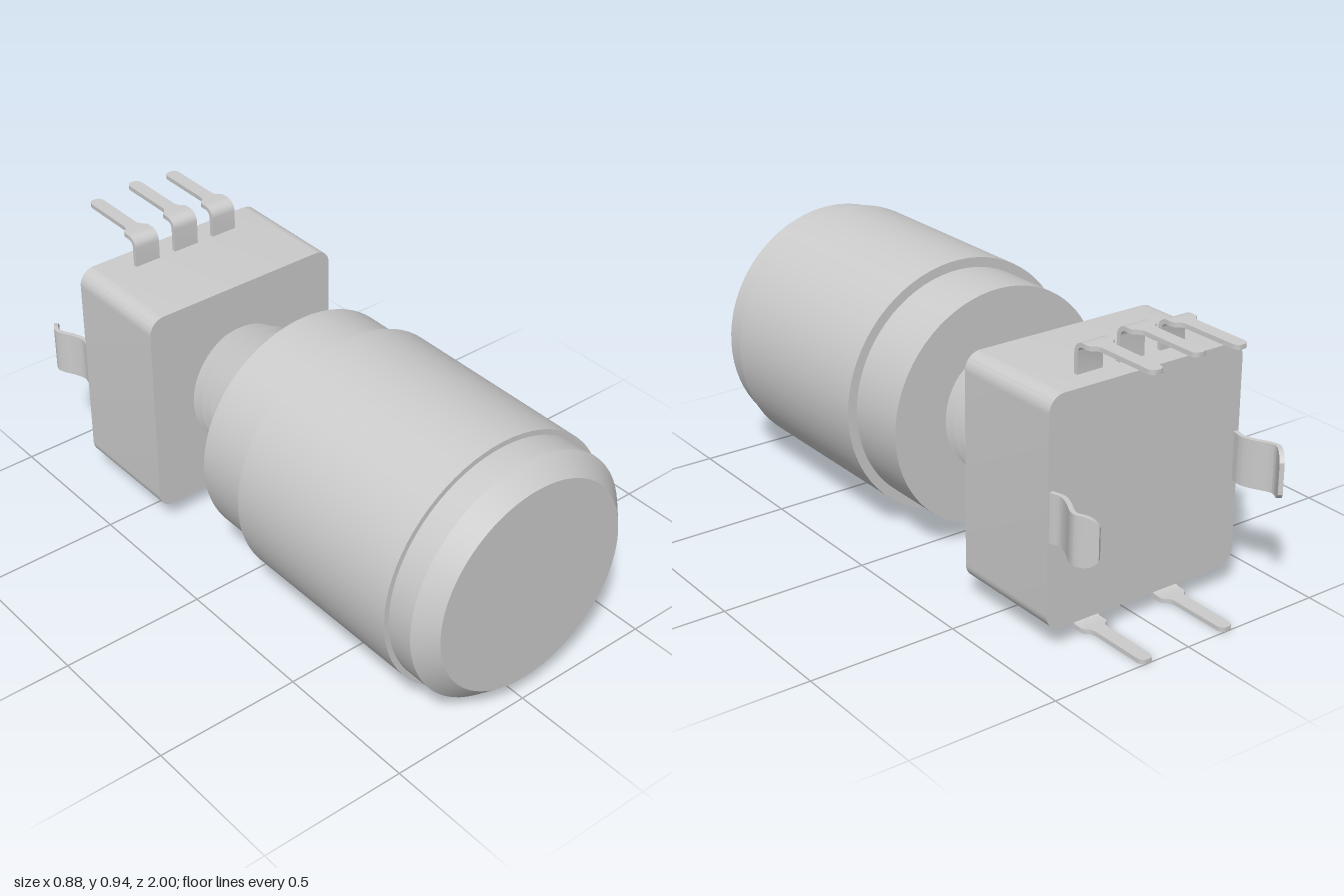
import * as THREE from 'three';
import { toCreasedNormals } from 'three/addons/utils/BufferGeometryUtils.js';

const AXIS_Y = 0.448; // height of the shaft axis; parts are built around y = 0
const THICK = 0.015; // sheet metal thickness
const material = new THREE.MeshStandardMaterial({ color: 0xcccccc });

function part(name, geometry, crease = 0.5) {
  const mesh = new THREE.Mesh(toCreasedNormals(geometry, crease), material);
  mesh.name = name;
  return mesh;
}

function indexed(positions, indices) {
  const g = new THREE.BufferGeometry();
  g.setAttribute('position', new THREE.Float32BufferAttribute(positions, 3));
  g.setIndex(indices);
  return g;
}

// Bent metal strip: path of [u, v, halfWidth]; place(u, v, w) returns [x, y, z]
function strip(path, place) {
  const pos = [], idx = [], last = path.length - 1;
  path.forEach(([u, v, w], i) => {
    const a = path[Math.max(i - 1, 0)], b = path[Math.min(i + 1, last)];
    const t = new THREE.Vector2(b[0] - a[0], b[1] - a[1]).normalize();
    for (const [n, s] of [[1, 1], [-1, 1], [-1, -1], [1, -1]]) {
      const h = n * THICK / 2;
      pos.push(...place(u - t.y * h, v + t.x * h, s * w));
    }
    if (i === last) return;
    for (let k = 0; k < 4; k++) {
      const p = i * 4 + k, q = i * 4 + (k + 1) % 4;
      idx.push(p, q, p + 4, q, q + 4, p + 4);
    }
  });
  const e = last * 4;
  idx.push(0, 2, 1, 0, 3, 2, e, e + 1, e + 2, e, e + 2, e + 3);
  return indexed(pos, idx);
}

// Solder pin: leaves the housing, bends backwards, then narrows
function pinGeometry(reach) {
  const top = reach - THICK / 2, r = 0.028, d = 0.698, path = [[d, 0.35, 0.047]];
  for (let i = 0; i <= 6; i++) {
    const a = i / 6 * Math.PI / 2;
    path.push([d + r * (1 - Math.cos(a)), top - r + r * Math.sin(a), 0.047]);
  }
  for (const [u, w] of [[0.75, 0.047], [0.757, 0.044], [0.764, 0.035], [0.772, 0.028], [0.785, 0.024],
    [0.978, 0.024], [0.988, 0.022], [0.996, 0.016], [1, 0.008]]) path.push([u, top, w]);
  return strip(path, (u, v, w) => [w, v, -u]);
}

// Wavy mounting clip with rounded end corners
function clipGeometry() {
  const curve = new THREE.SplineCurve([[0.75, 0.356], [0.785, 0.355], [0.825, 0.346], [0.865, 0.357],
    [0.915, 0.382], [0.945, 0.382], [0.995, 0.348]].map(p => new THREE.Vector2(...p)));
  const r = 0.045;
  const path = curve.getPoints(60).map(p => {
    const over = Math.max(0, p.x - (0.998 - r));
    return [p.x, p.y, 0.08 - r + Math.sqrt(r * r - over * over)];
  });
  return strip(path, (u, v, w) => [v, -w, -u]);
}

// Right-handed V-thread as one helical sheet of alternating roots and crests
function threadGeometry(root, crest, zStart, pitch, turns) {
  const pos = [], idx = [], seg = 48, row = seg + 1;
  for (let k = 0; k <= turns * 2; k++) {
    const r = k % 2 ? crest : root;
    for (let j = 0; j <= seg; j++) {
      const a = j / seg * Math.PI * 2;
      pos.push(r * Math.cos(a), r * Math.sin(a), zStart + pitch * (k / 2 + j / seg));
      if (k < turns * 2 && j < seg) {
        const p = k * row + j;
        idx.push(p, p + 1, p + row, p + 1, p + row + 1, p + row);
      }
    }
  }
  return indexed(pos, idx);
}

function housingGeometry() {
  const x = 0.367, y = 0.375, r = 0.055, s = new THREE.Shape();
  s.absarc(x - r, y - r, r, 0, Math.PI / 2);
  s.absarc(r - x, y - r, r, Math.PI / 2, Math.PI);
  s.absarc(r - x, r - y, r, Math.PI, Math.PI * 1.5);
  s.absarc(x - r, r - y, r, Math.PI * 1.5, Math.PI * 2);
  return new THREE.ExtrudeGeometry(s, { depth: 0.4, bevelEnabled: false, curveSegments: 10 })
    .translate(0, 0, -0.785);
}

export function createModel() {
  const model = new THREE.Group();
  model.name = 'rotaryControl';
  const body = new THREE.Group();
  body.name = 'body';
  body.position.y = AXIS_Y;
  model.add(body);

  // Stepped knob with chamfered front
  const profile = [[0, -0.065], [0.405, -0.065], [0.405, 0.155], [0.438, 0.155], [0.438, 0.845],
    [0.42, 0.845], [0.42, 0.938], [0.36, 1], [0, 1]].map(p => new THREE.Vector2(...p));
  body.add(part('knob', new THREE.LatheGeometry(profile, 72).rotateX(Math.PI / 2)));

  // Threaded bushing between knob and housing
  body.add(part('threadedBushing', threadGeometry(0.17, 0.217, -0.47, 0.047, 10)));
  body.add(part('housing', housingGeometry()));

  // Three pins above, the middle one taller, and two below
  for (const x of [-0.157, 0, 0.157]) {
    const pin = part('topPin', pinGeometry(x ? 0.478 : 0.492));
    pin.position.x = x;
    body.add(pin);
  }
  for (const x of [-0.157, 0.157]) {
    const pin = part('bottomPin', pinGeometry(AXIS_Y));
    pin.position.x = x;
    pin.rotation.z = Math.PI;
    body.add(pin);
  }

  // Mounting clips on both sides
  for (const [name, turn] of [['leftClip', 0], ['rightClip', Math.PI]]) {
    const clip = part(name, clipGeometry());
    clip.rotation.z = turn;
    body.add(clip);
  }
  return model;
}
